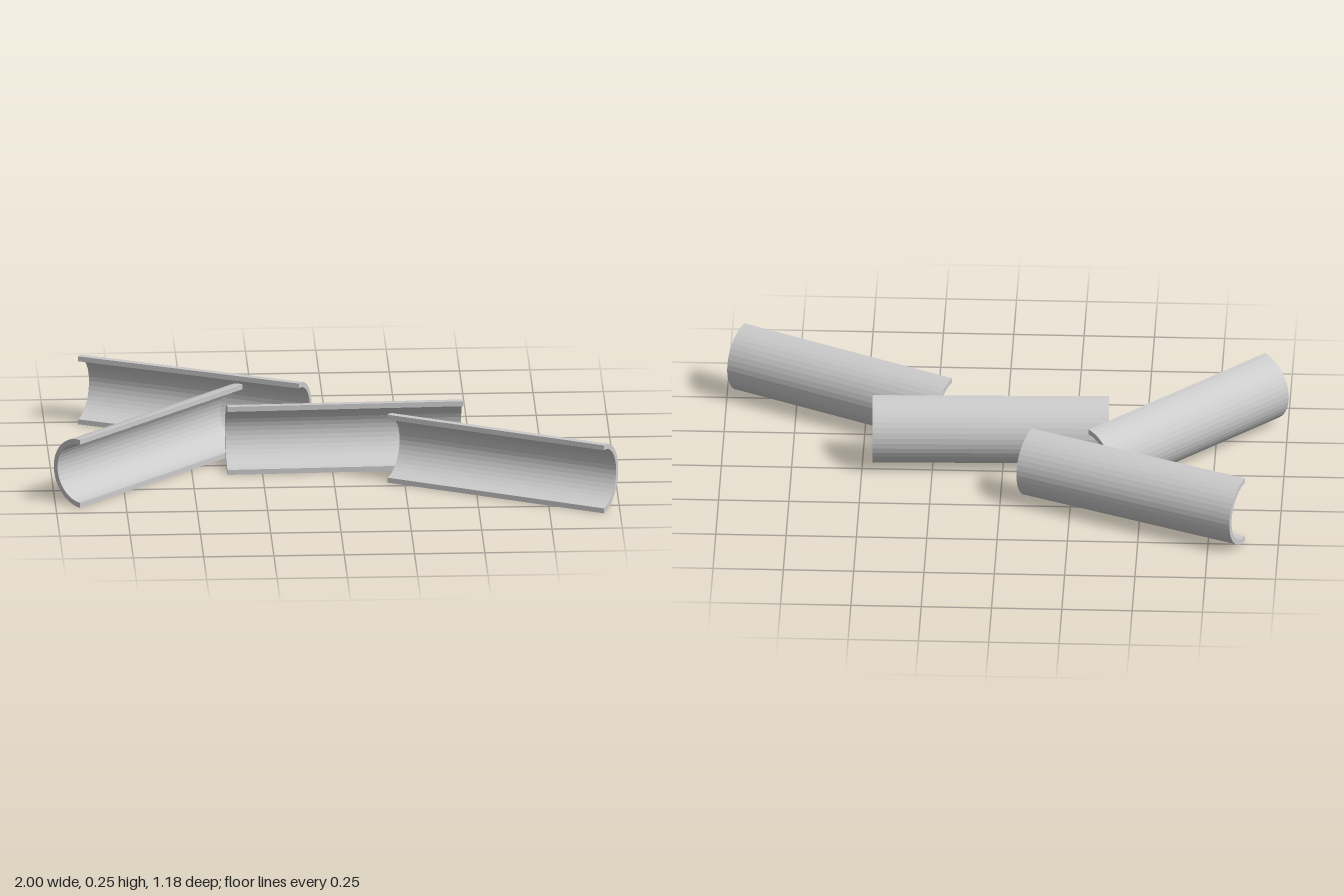
import * as THREE from 'three';

const OUTER = 0.1275, INNER = 0.109, LENGTH = 0.84;

// Half-pipe lying on its side: axis along x, curved back towards -z, open towards +z
function halfPipeGeometry() {
  const half = Math.PI / 2;
  const shape = new THREE.Shape();
  shape.absarc(0, 0, OUTER, -half, half, false);
  shape.lineTo(0, INNER);
  shape.absarc(0, 0, INNER, half, -half, true);
  shape.closePath();
  const geometry = new THREE.ExtrudeGeometry(shape, { depth: LENGTH, bevelEnabled: false, curveSegments: 10 });
  geometry.translate(0, 0, -LENGTH / 2);
  geometry.rotateY(half);
  return geometry;
}

export function createModel() {
  const group = new THREE.Group();
  group.name = 'halfPipes';
  const grey = new THREE.MeshStandardMaterial({ color: 0xcccccc });
  grey.name = 'light grey';
  const geometry = halfPipeGeometry();

  // name, centre x and z of the open side, turn about y
  const pipes = [
    ['backHalfPipe', -0.495, -0.308, -0.41],
    ['rightHalfPipe', -0.613, 0.15, 0.768],
    ['middleHalfPipe', 0.045, 0.092, 0.03],
    ['frontLeftHalfPipe', 0.565, 0.4, -0.459],
  ];
  for (const [name, x, z, turn] of pipes) {
    const pipe = new THREE.Mesh(geometry, grey);
    pipe.name = name;
    pipe.position.set(x, OUTER, z);
    pipe.rotation.y = turn;
    group.add(pipe);
  }
  return group;
}
